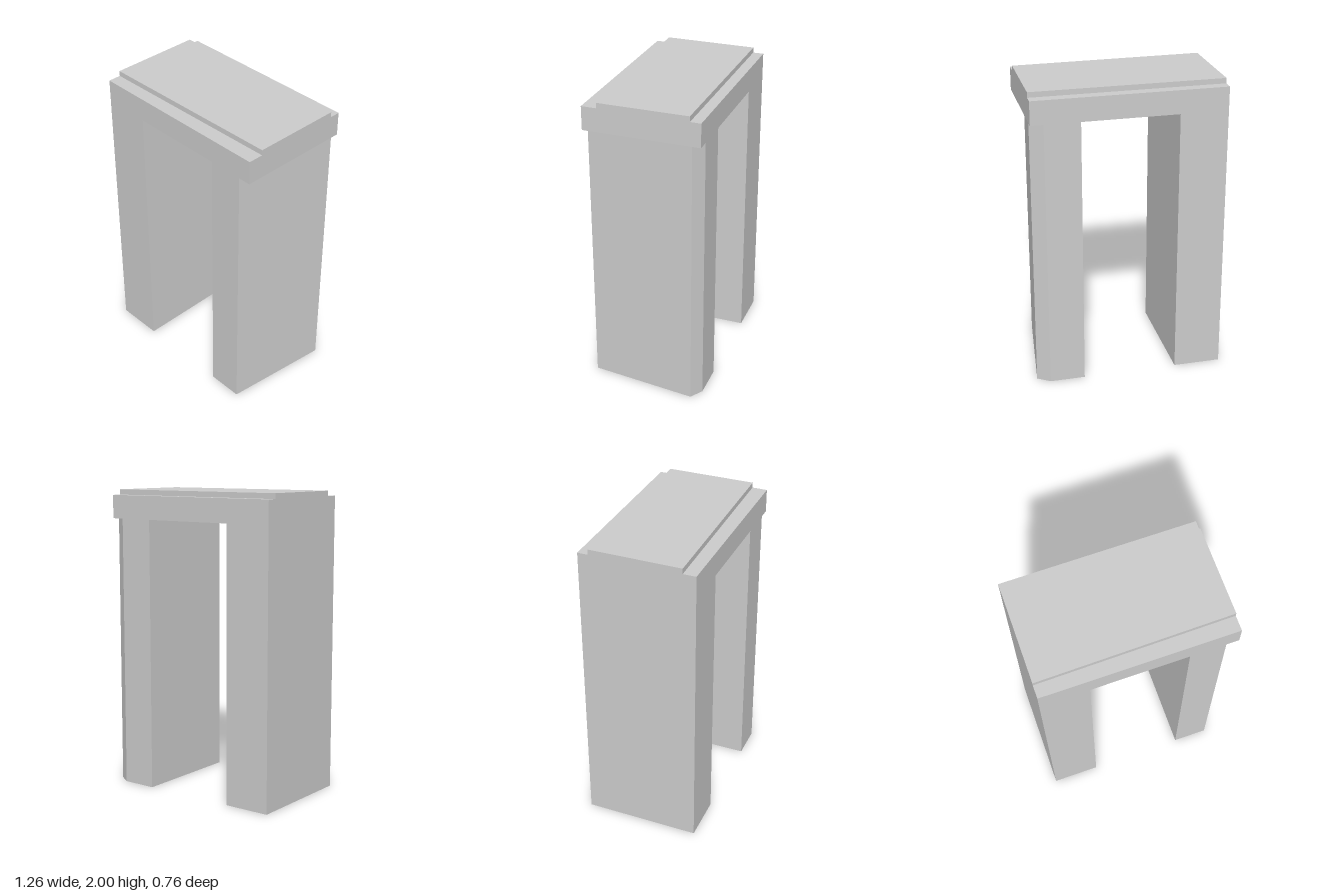
import * as THREE from 'three';

const material = new THREE.MeshStandardMaterial({ color: 0xcccccc, flatShading: true });

// Upright prism over a floor outline of [x, z] corners, from y0 to y1.
function prism(name, outline, y0, y1) {
  const shape = new THREE.Shape(outline.map(([x, z]) => new THREE.Vector2(x, -z)));
  const geometry = new THREE.ExtrudeGeometry(shape, { depth: y1 - y0, bevelEnabled: false });
  geometry.rotateX(-Math.PI / 2);
  geometry.translate(0, y0, 0);
  const mesh = new THREE.Mesh(geometry, material);
  mesh.name = name;
  return mesh;
}

export function createModel() {
  const group = new THREE.Group();
  group.name = 'archway';
  const W = 0.63, D = 0.38, inner = 0.315;
  const legTop = 1.81, stepY = 1.965, top = 2;

  // Plain rectangular pillar
  group.add(prism('rightPillar', [[-W, D], [-inner, D], [-inner, -D], [-W, -D]], 0, legTop));

  // Pillar with a slanted outer face and a chamfered back corner
  group.add(prism('leftPillar',
    [[inner, D], [0.547, D], [W, -0.325], [0.547, -D], [inner, -D]], 0, legTop));

  // Lintel across both pillars
  group.add(prism('lintel', [[-W, D], [W, D], [W, -D], [-W, -D]], legTop, stepY));

  // Raised top, stepped in at front and back, its front edge slightly skewed
  group.add(prism('raisedTop', [[-W, 0.295], [W, 0.28], [W, -0.31], [-W, -0.31]], stepY, top));

  return group;
}
